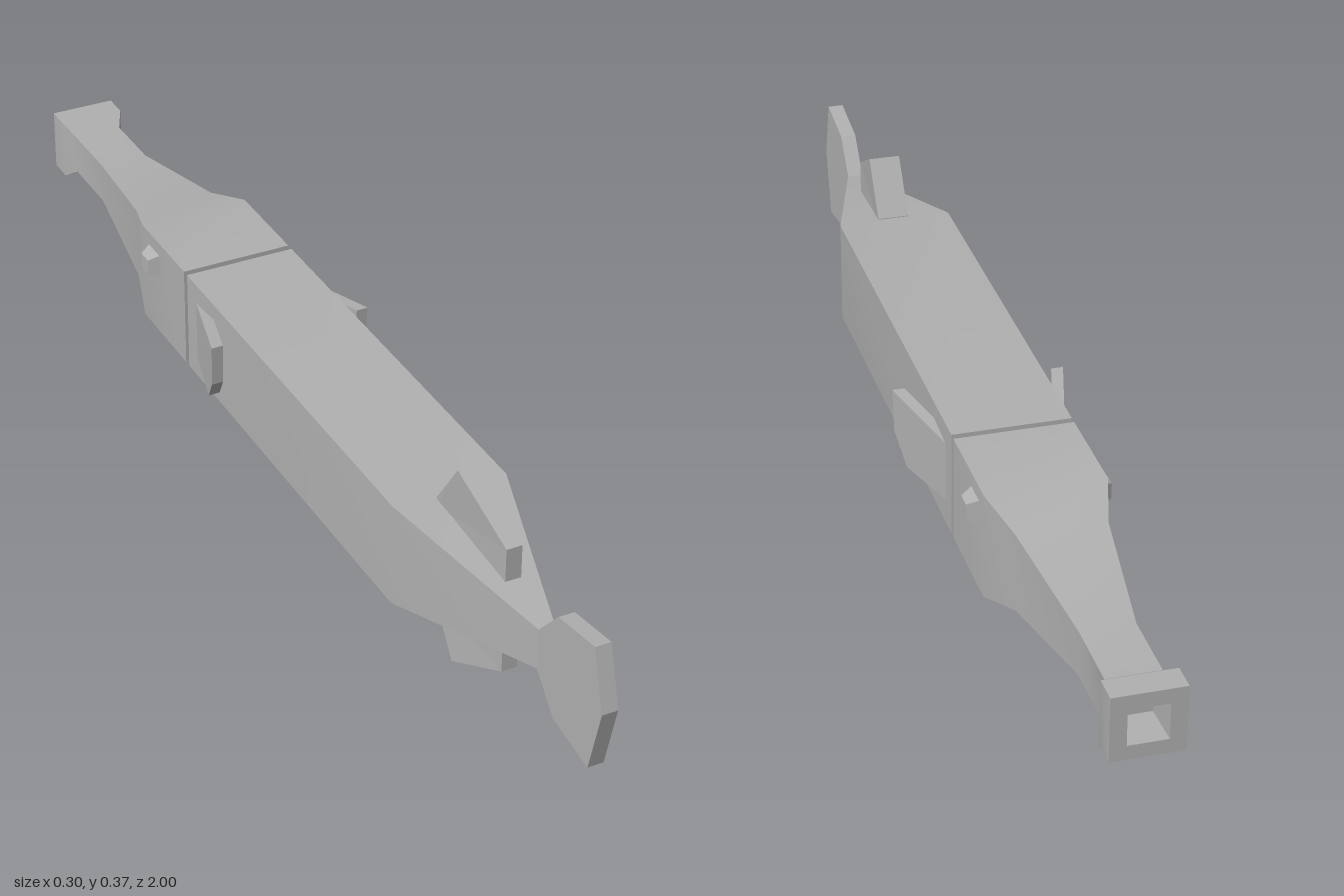
import * as THREE from 'three';
import { toCreasedNormals } from 'three/addons/utils/BufferGeometryUtils.js';

const MID = 0.191; // height of the body axis

// Rectangular sections [z, half width, bottom, top] joined and capped
function loft(sections) {
  const pos = [], idx = [];
  for (const [z, h, y0, y1] of sections) pos.push(-h, y0, z, h, y0, z, h, y1, z, -h, y1, z);
  const last = (sections.length - 1) * 4;
  for (let i = 0; i < last; i += 4) {
    for (let j = 0; j < 4; j++) {
      const a = i + j, b = i + (j + 1) % 4;
      idx.push(a, b, b + 4, a, b + 4, a + 4);
    }
  }
  idx.push(0, 2, 1, 0, 3, 2, last, last + 1, last + 2, last, last + 2, last + 3);
  const g = new THREE.BufferGeometry();
  g.setAttribute('position', new THREE.Float32BufferAttribute(pos, 3));
  g.setIndex(idx);
  return toCreasedNormals(g, 0.5);
}

// Side outline of [z, y] points; xRange(z, y) gives the [low, high] x of the plate
function plate(points, xRange) {
  const shape = new THREE.Shape(points.map(([z, y]) => new THREE.Vector2(z, y)));
  const g = new THREE.ExtrudeGeometry(shape, { depth: 1, bevelEnabled: false });
  const p = g.attributes.position;
  for (let i = 0; i < p.count; i++) {
    const z = p.getX(i), y = p.getY(i), far = p.getZ(i) > 0.5;
    const [lo, hi] = xRange(z, y);
    p.setXYZ(i, far ? lo : hi, y, z);
  }
  g.computeVertexNormals();
  return g;
}

export function createModel() {
  const model = new THREE.Group();
  const grey = new THREE.MeshStandardMaterial({ color: 0xb0b0b0 });
  grey.name = 'grey';
  const add = (name, geometry) => {
    const m = new THREE.Mesh(geometry, grey);
    m.name = name;
    model.add(m);
    return m;
  };

  // Trunk, tapering to the tail root
  add('body', loft([
    [-0.28, 0.102, 0.097, 0.286], [0.5, 0.102, 0.097, 0.286], [0.815, 0.013, 0.155, 0.228],
  ]));

  // Recessed neck between trunk and head
  add('neck', loft([[-0.3, 0.09, 0.109, 0.274], [-0.27, 0.09, 0.109, 0.274]]));

  // Head and long snout, with a hollow square mouth
  add('head', loft([
    [-0.93, 0.03, 0.163, 0.222], [-1, 0.033, 0.161, 0.224],
    [-1, 0.06, 0.136, 0.25], [-0.953, 0.06, 0.136, 0.25],
    [-0.925, 0.045, 0.154, 0.23], [-0.8, 0.045, 0.154, 0.231],
    [-0.565, 0.075, 0.124, 0.262], [-0.475, 0.102, 0.097, 0.286],
    [-0.293, 0.102, 0.097, 0.286],
  ]));

  // Tail fan
  add('tailFin', plate([
    [0.81, 0.155], [0.865, 0.095], [0.97, 0.078], [1, 0.2],
    [0.97, 0.307], [0.865, 0.29], [0.81, 0.228],
  ], () => [-0.014, 0.014]));

  // Back and belly fins, narrowing toward the tail
  const finWidth = z => 0.028 - 0.014 * THREE.MathUtils.clamp((z - 0.572) / 0.134, 0, 1);
  const backFin = [[0.508, 0.27], [0.706, 0.22], [0.706, 0.309], [0.572, 0.378], [0.508, 0.286]];
  const finRange = z => [-finWidth(z), finWidth(z)];
  add('dorsalFin', plate(backFin, finRange));
  add('ventralFin', plate(backFin.map(([z, y]) => [z, 2 * MID - y]), finRange));

  // Small slanted fin under the belly
  add('bellyFin', plate([[0.18, 0.11], [0.273, 0.022], [0.297, 0.055], [0.245, 0.11]],
    () => [-0.024, 0.024]));

  for (const s of [1, -1]) {
    const side = s > 0 ? 'left' : 'right';

    // Swept side fin
    add(side + 'PectoralFin', plate([
      [-0.25, 0.14], [-0.12, 0.138], [-0.08, 0.187], [-0.075, 0.264], [-0.25, 0.248],
    ], z => {
      const outer = 0.1 + 0.048 * (z + 0.25) / 0.17, inner = outer - 0.021;
      return s > 0 ? [inner, outer] : [-outer, -inner];
    }));

    // Bevelled square eye
    const eye = new THREE.CylinderGeometry(0.02, 0.04, 0.03, 4, 1, false, Math.PI / 4).toNonIndexed();
    eye.computeVertexNormals();
    eye.rotateZ(-s * Math.PI / 2);
    eye.translate(s * 0.106, 0.237, -0.424);
    add(side + 'Eye', eye);
  }
  return model;
}
